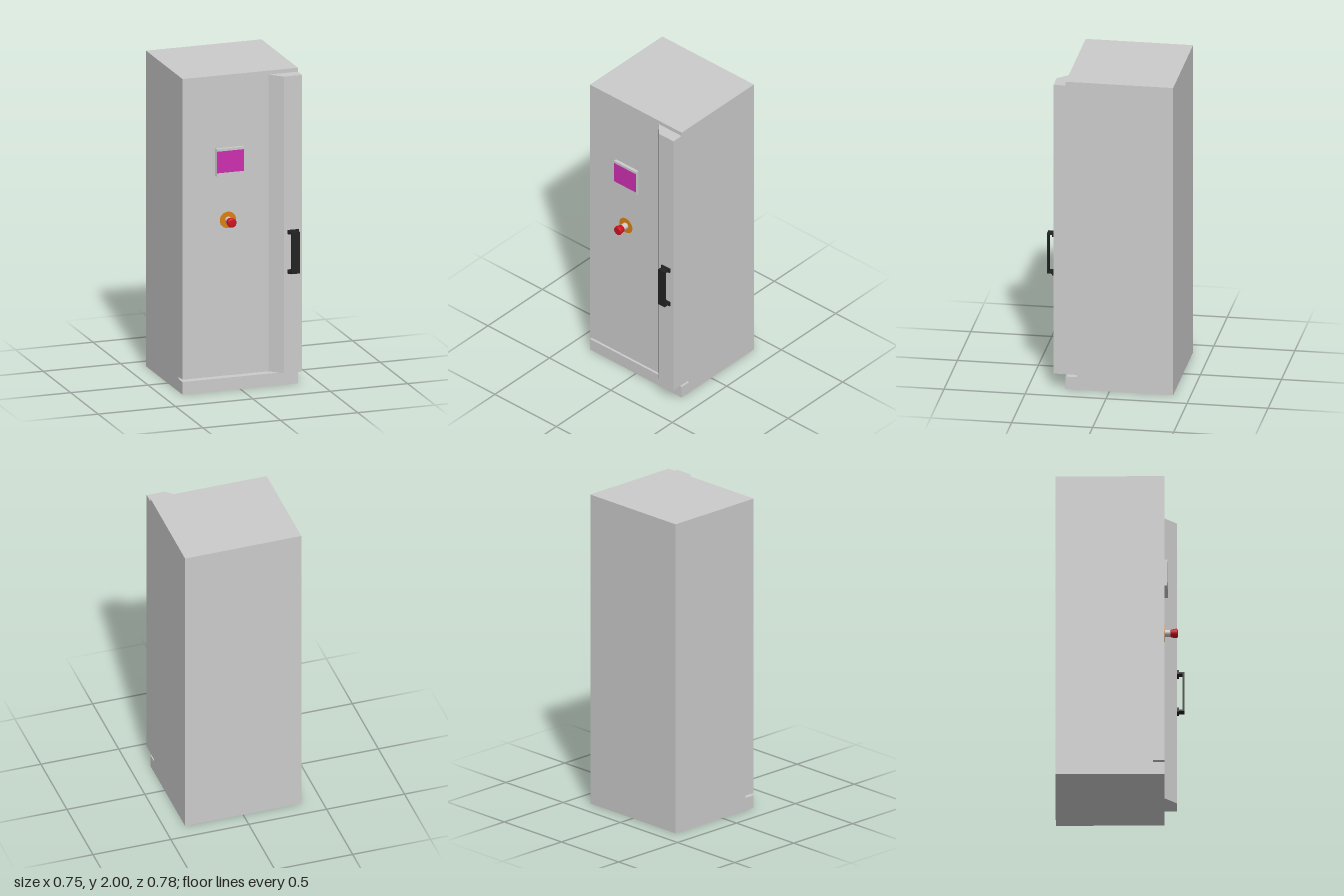
import * as THREE from 'three';

const grey = new THREE.MeshStandardMaterial({ color: 0xcccccc });
const black = new THREE.MeshStandardMaterial({ color: 0x222222 });
const red = new THREE.MeshStandardMaterial({ color: 0xd01020 });
const orange = new THREE.MeshStandardMaterial({ color: 0xd98010 });
const magenta = new THREE.MeshStandardMaterial({ color: 0xcc2fb0 });

function add(parent, name, geometry, material, x = 0, y = 0, z = 0) {
  const mesh = new THREE.Mesh(geometry, material);
  mesh.name = name;
  mesh.position.set(x, y, z);
  parent.add(mesh);
  return mesh;
}

// Box given by its lower and upper corners
function box(parent, name, material, [x0, y0, z0], [x1, y1, z1]) {
  return add(parent, name, new THREE.BoxGeometry(x1 - x0, y1 - y0, z1 - z0), material,
    (x0 + x1) / 2, (y0 + y1) / 2, (z0 + z1) / 2);
}

function extrude(points, depth) {
  const shape = new THREE.Shape(points.map(([x, y]) => new THREE.Vector2(x, y)));
  return new THREE.ExtrudeGeometry(shape, { depth, bevelEnabled: false });
}

export function createModel() {
  const model = new THREE.Group();
  model.name = 'controlCabinet';

  // Cabinet: side profile (-z, y) with the slot between door and plinth
  const cabinet = extrude([
    [-0.27, 0], [0.393, 0], [0.393, 2], [-0.27, 2],
    [-0.27, 0.095], [-0.2, 0.095], [-0.2, 0.08], [-0.27, 0.08],
  ], 0.746);
  cabinet.rotateY(Math.PI / 2);
  add(model, 'cabinet', cabinet, grey, -0.373, 0, 0);

  // Door trim: plan profile (x, -z) with one slanted side
  const trim = extrude([[0.18, -0.268], [0.256, -0.345], [0.372, -0.345], [0.372, -0.268]], 1.88);
  trim.rotateX(-Math.PI / 2);
  add(model, 'doorTrim', trim, grey, 0, 0.095, 0);

  // Display
  const display = new THREE.Group();
  display.name = 'display';
  model.add(display);
  box(display, 'displayHousing', grey, [-0.16, 1.365, 0.268], [0.02, 1.54, 0.29]);
  box(display, 'screen', magenta, [-0.158, 1.387, 0.28], [0.018, 1.524, 0.291]);

  // Emergency stop button, turned about the z axis
  const button = new THREE.Group();
  button.name = 'stopButton';
  button.position.set(-0.08, 1.08, 0.27);
  button.rotation.x = Math.PI / 2;
  model.add(button);
  add(button, 'buttonPlate', new THREE.CylinderGeometry(0.052, 0.052, 0.004, 40), orange, 0, 0.001, 0);
  add(button, 'buttonStem', new THREE.CylinderGeometry(0.021, 0.021, 0.042, 32), grey, 0, 0.02, 0);
  const cap = [[0, 0.038], [0.022, 0.038], [0.024, 0.041], [0.029, 0.07], [0.029, 0.076],
    [0.026, 0.08], [0.02, 0.081], [0, 0.081]].map(([r, y]) => new THREE.Vector2(r, y));
  add(button, 'buttonCap', new THREE.LatheGeometry(cap, 40), red);

  // Handle: bar, two arms and two feet
  const handle = new THREE.Group();
  handle.name = 'handle';
  handle.position.set(0.315, 0.863, 0);
  model.add(handle);
  box(handle, 'handleBar', black, [-0.027, -0.131, 0.38], [0.027, 0.131, 0.391]);
  for (const s of [-1, 1]) {
    const part = (name, halfWidth, y, halfHeight, z0, z1) => box(handle, name, black,
      [-halfWidth, s * y - halfHeight, z0], [halfWidth, s * y + halfHeight, z1]);
    part('handleArm', 0.027, 0.126, 0.005, 0.344, 0.391);
    part('handleFoot', 0.035, 0.125, 0.013, 0.344, 0.357);
  }
  return model;
}
